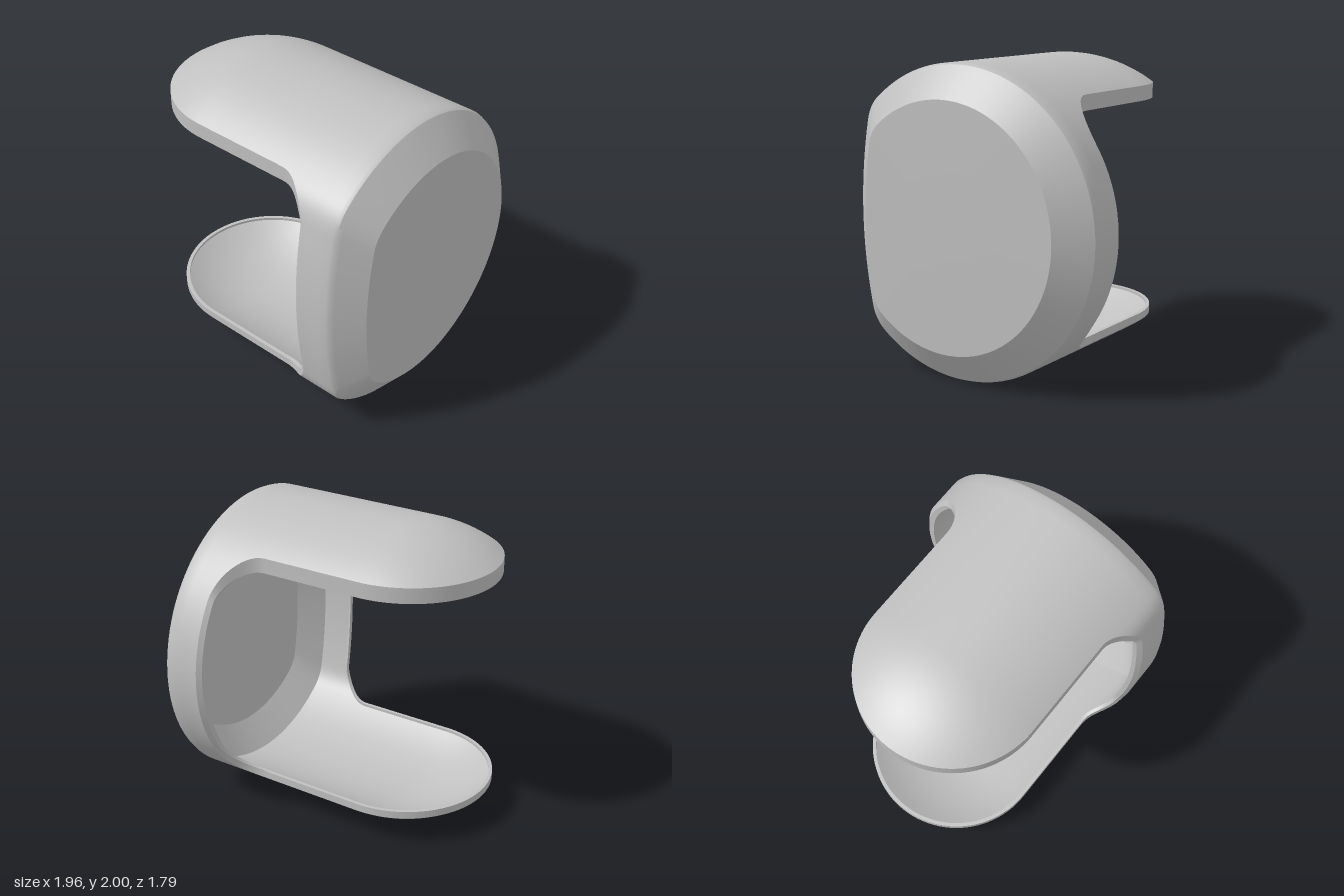
import * as THREE from 'three';
import { toCreasedNormals } from 'three/addons/utils/BufferGeometryUtils.js';

const CY = 1, CZ = 0.1;   // axis of the shell, running along x
const CX = -0.38;         // centre of the rounded flap ends
const WALL = 0.96;        // inner skin scale

// Slightly flattened front of the round section: z offset from the axis at height h
function frontZ(h) {
  const a = Math.sqrt(1 - h * h), b = 0.79 - h * h / 6, k = 0.06;
  const t = Math.max(k - Math.abs(a - b), 0) / k;
  return Math.min(a, b) - t * t * k / 4;
}

// Columns around the axis: top flap, back, bottom flap, front
function makeColumns() {
  const cols = [];
  const lipHeight = s => (s > 0 ? 0.1 : 0.05);
  const flap = s => {
    for (let i = 0; i <= 48; i++) {
      const t = Math.PI * i / 48;
      const dz = 0.6 * Math.cos(t) * s;
      cols.push({ h: s * Math.sqrt(1 - dz * dz), dz, start: CX - 0.6 * Math.sin(t), lip: [0, -s * lipHeight(s)], taper: 0 });
    }
  };
  const side = (s, front) => {
    const add = (h, a, sign) => cols.push({
      h, dz: front ? frontZ(h) : -Math.sqrt(1 - h * h),
      start: 0.3 + 0.27 * Math.sin(a),
      lip: [-0.03 * Math.sin(a), -sign * lipHeight(sign) * Math.cos(a)],
      taper: 0.025 * Math.sin(a),
    });
    const fillet = (a, sign) => add(sign * (0.53 + 0.27 * Math.cos(a)), a, sign);
    for (let i = 0; i <= 14; i++) fillet(Math.PI / 2 * i / 14, s);
    for (let i = 1; i < 20; i++) add(s * 0.53 * (1 - i / 10), Math.PI / 2, s);
    for (let i = 14; i >= 0; i--) fillet(Math.PI / 2 * i / 14, -s);
  };
  flap(1);
  side(1, false);
  flap(-1);
  side(-1, true);
  cols.push(cols[0]);
  return cols;
}

// Point on the skin of a column at x, scaled by k; the flap ends are spherical
function skinPoint(c, x, k) {
  let h = c.h;
  if (x < CX) {
    h = Math.sign(h) * Math.sqrt(Math.max(0, 1 - c.dz * c.dz - (x - CX) ** 2));
    x = CX + (x - CX) * k;
  }
  return new THREE.Vector3(x, CY + h * k, CZ + c.dz * k);
}

// Wall from the rim to the shoulder, with rows that line up past the fillets
function wall(c, k, end) {
  const stops = [c.start, Math.max(c.start, 0.3), 0.57, end];
  const counts = [20, 6, 3], pts = [];
  for (let s = 0; s < 3; s++)
    for (let i = s ? 1 : 0; i <= counts[s]; i++)
      pts.push(skinPoint(c, THREE.MathUtils.lerp(stops[s], stops[s + 1], i / counts[s]), k));
  return pts;
}

const rings = (c, list) => list.map(([x, k]) => new THREE.Vector3(x, CY + c.h * k, CZ + c.dz * k));

// Raised lip around the opening: inner rim, inner edge, outer edge, outer rim
function lip(c) {
  const outer = skinPoint(c, c.start, 1), inner = skinPoint(c, c.start, WALL);
  const move = p => new THREE.Vector3(p.x + c.lip[0], outer.y + c.lip[1], p.z - Math.sign(c.dz) * c.taper);
  return [inner, move(inner), move(outer), outer];
}

// Surface across neighbouring columns of points, skipping collapsed triangles
function loft(columns) {
  const pos = [], ab = new THREE.Vector3(), ac = new THREE.Vector3();
  const tri = (a, b, c) => {
    if (ab.subVectors(b, a).cross(ac.subVectors(c, a)).length() < 1e-8) return;
    for (const p of [a, b, c]) pos.push(p.x, p.y, p.z);
  };
  for (let i = 0; i + 1 < columns.length; i++) {
    const p = columns[i], q = columns[i + 1];
    for (let j = 0; j + 1 < p.length; j++) {
      tri(p[j], p[j + 1], q[j]);
      tri(q[j], p[j + 1], q[j + 1]);
    }
  }
  const geo = new THREE.BufferGeometry();
  geo.setAttribute('position', new THREE.Float32BufferAttribute(pos, 3));
  return toCreasedNormals(geo, 0.5);
}

export function createModel() {
  const group = new THREE.Group();
  group.name = 'openShell';
  const grey = new THREE.MeshStandardMaterial({ color: 0xc0c0c0, side: THREE.DoubleSide });
  grey.name = 'light grey';
  const cols = makeColumns();
  const add = (name, profile) => {
    const mesh = new THREE.Mesh(loft(cols.map(profile)), grey);
    mesh.name = name;
    group.add(mesh);
  };

  // Outer skin with softened shoulder and chamfer
  add('outerShell', c => [...wall(c, 1, 0.79), ...rings(c, [[0.815, 0.99], [0.835, 0.965], [0.97, 0.79]])]);
  // Nearly flat closed end
  add('endCap', c => rings(c, [[0.97, 0.79], [0.975, 0.4], [0.978, 0]]));
  // Lip bordering the flaps and ring
  add('openingLip', lip);
  // Inner skin with its chamfer
  add('innerLining', c => [...wall(c, WALL, 0.78), ...rings(c, [[0.93, 0.77]])].reverse());
  // Inside face of the closed end
  add('innerEndPlate', c => rings(c, [[0.93, 0], [0.93, 0.77]]));
  return group;
}
